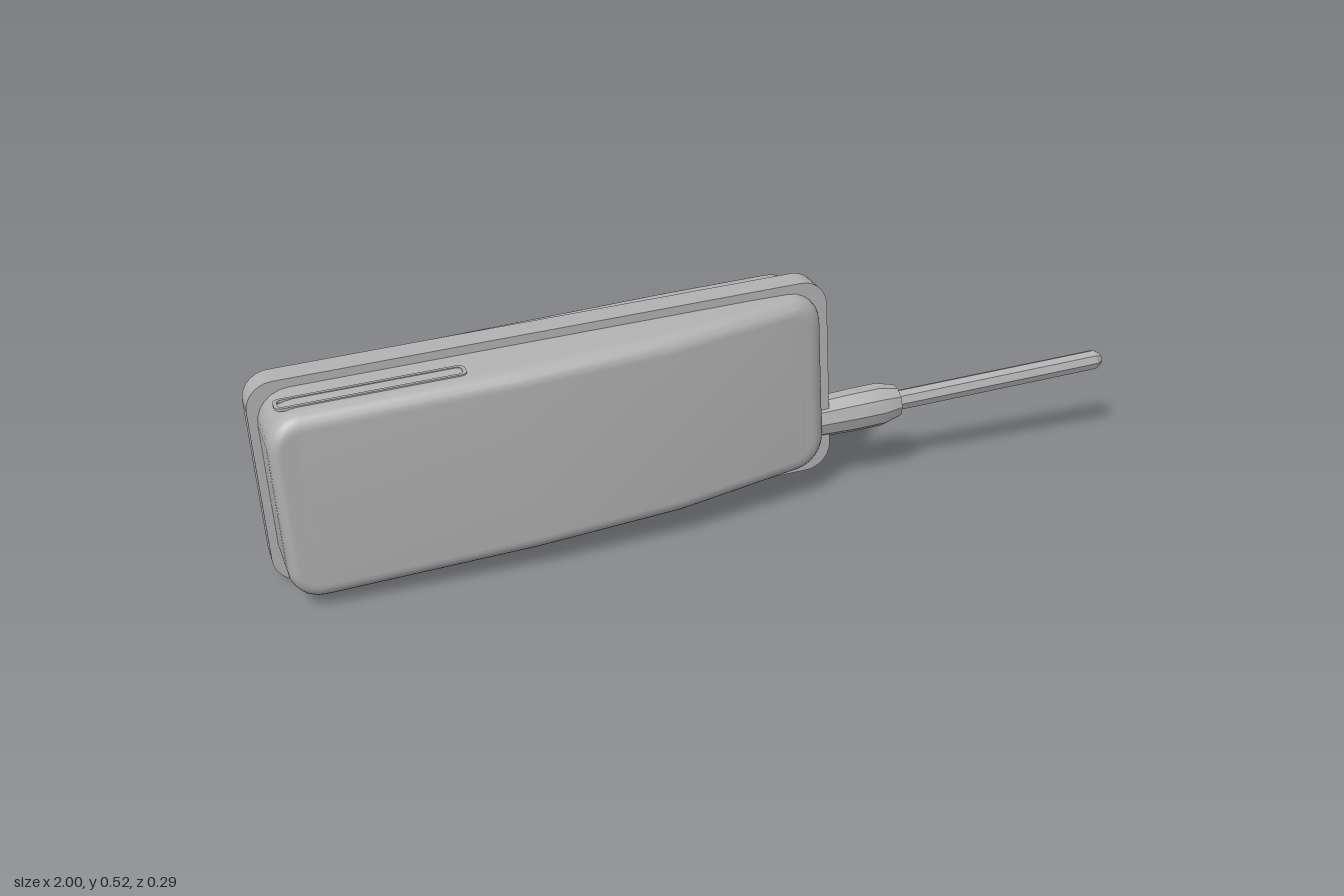
import * as THREE from 'three';
import { toCreasedNormals } from 'three/addons/utils/BufferGeometryUtils.js';

const HALF_L = 0.634, HALF_H = 0.231;

// Piecewise-linear depth along the length of the case
function depthAt(knots, u) {
  for (let i = 1; i < knots.length; i++) {
    const [u0, d0] = knots[i - 1], [u1, d1] = knots[i];
    if (u <= u1 || i === knots.length - 1) return d0 + (d1 - d0) * (u - u0) / (u1 - u0);
  }
}

// Upper half of a rounded-rectangle outline, from right end to left end
function upperOutline(inset, knots) {
  const b = HALF_H - inset, r = Math.max(0.025, 0.085 - inset * 0.7), steps = 6;
  const right = HALF_L - inset, left = -HALF_L + 0.018 + (inset - 0.018) * 0.6;
  const pts = [];
  for (let i = 0; i <= steps; i++) {
    const a = i / steps * Math.PI / 2;
    pts.push([right - r + r * Math.cos(a), b - r + r * Math.sin(a)]);
  }
  for (const [u] of knots.slice(1, -1).reverse()) pts.push([u, b]);
  for (let i = 0; i <= steps; i++) {
    const a = (1 + i / steps) * Math.PI / 2;
    pts.push([left + r + r * Math.cos(a), b - r + r * Math.sin(a)]);
  }
  return pts;
}

// Half of the case: stacked outlines ending in a rounded rim and a face that follows the depth
function shellGeometry(knots, side) {
  const R = 0.035;
  const layers = [[0.018, null], [0.021, R + 0.004]];
  for (let i = 0; i <= 6; i++) {
    const a = i / 6 * Math.PI / 2;
    layers.push([0.0215 + R * (1 - Math.cos(a)), R * (1 - Math.sin(a))]);
  }
  layers.push([0.0215 + R + 0.004, 0]);

  const positions = [], index = [];
  let n = 0;
  for (const [inset, drop] of layers) {
    const up = upperOutline(inset, knots);
    n = up.length;
    const ring = [...up, ...up.map(([u, v]) => [u, -v]).reverse()];
    for (const [u, v] of ring) {
      positions.push(u, v, side * (drop === null ? 0 : depthAt(knots, u) - drop));
    }
  }
  const tri = (a, b, c) => (side > 0 ? index.push(a, b, c) : index.push(a, c, b));
  const quad = (a, b, c, d) => { tri(a, b, c); tri(a, c, d); };
  const N = 2 * n;
  for (let j = 0; j < layers.length - 1; j++) {
    for (let i = 0; i < N; i++) {
      const k = (i + 1) % N;
      quad(j * N + i, j * N + k, (j + 1) * N + k, (j + 1) * N + i);
    }
  }
  const top = (layers.length - 1) * N;
  for (let k = 0; k < n - 1; k++) quad(top + k, top + k + 1, top + N - 2 - k, top + N - 1 - k);

  const g = new THREE.BufferGeometry();
  g.setAttribute('position', new THREE.Float32BufferAttribute(positions, 3));
  g.setIndex(index);
  return toCreasedNormals(g, 0.5);
}

// Rounded rectangle centred on the origin
function roundedRect(path, w, h, r) {
  const x = w / 2, y = h / 2;
  path.moveTo(-x + r, -y);
  path.lineTo(x - r, -y);
  path.absarc(x - r, -y + r, r, -Math.PI / 2, 0);
  path.lineTo(x, y - r);
  path.absarc(x - r, y - r, r, 0, Math.PI / 2);
  path.lineTo(-x + r, y);
  path.absarc(-x + r, y - r, r, Math.PI / 2, Math.PI);
  path.lineTo(-x, -y + r);
  path.absarc(-x + r, -y + r, r, Math.PI, Math.PI * 1.5);
  return path;
}

// Faceted turned part lying along x, from [x, radius] pairs
function turned(profile, sides) {
  const g = new THREE.LatheGeometry(profile.map(([x, r]) => new THREE.Vector2(r, x)), sides);
  g.rotateZ(-Math.PI / 2);
  return toCreasedNormals(g, 0.3);
}

export function createModel() {
  const grey = new THREE.MeshStandardMaterial({ color: 0xb0b0b0 });
  grey.name = 'plain grey';

  const device = new THREE.Group();
  device.name = 'device';
  const add = (name, geometry) => {
    const m = new THREE.Mesh(geometry, grey);
    m.name = name;
    device.add(m);
    return m;
  };

  // Case halves: a wedge-shaped front and a shallow back
  add('frontShell', shellGeometry([[-0.63, 0.177], [-0.095, 0.171], [0.235, 0.147], [0.63, 0.062]], 1));
  add('backShell', shellGeometry([[-0.63, 0.098], [-0.1, 0.113], [0.3, 0.126], [0.63, 0.127]], -1));

  // Band around the seam
  const bandShape = roundedRect(new THREE.Shape(), HALF_L * 2, HALF_H * 2, 0.06);
  const band = new THREE.ExtrudeGeometry(bandShape, { depth: 0.064, bevelEnabled: false, curveSegments: 6 });
  band.translate(0, 0, -0.032);
  add('seamBand', toCreasedNormals(band, 0.5));

  // Long grip slots on the upper and lower sides, outlined by a thin rim
  for (const s of [1, -1]) {
    const rim = roundedRect(new THREE.Shape(), 0.39, 0.05, 0.016);
    rim.holes.push(roundedRect(new THREE.Path(), 0.374, 0.034, 0.01));
    const slot = new THREE.ExtrudeGeometry(rim, { depth: 0.006, bevelEnabled: false, curveSegments: 4 });
    const m = add(s > 0 ? 'upperSlotRim' : 'lowerSlotRim', slot);
    m.rotation.x = -s * Math.PI / 2;
    m.position.set(-0.39, s * 0.207, 0.106);
  }

  // Cable with its collar at the lower right of the case
  const collar = add('cableCollar', turned([[0.6, 0.046], [0.7, 0.05], [0.77, 0.05], [0.815, 0.038], [0.822, 0]], 10));
  const cable = add('cable', turned([[0.8, 0.024], [1.335, 0.024], [1.352, 0.014], [1.354, 0]], 8));
  collar.position.y = cable.position.y = -0.119;

  // The whole device leans slightly
  device.position.set(-0.355, 0.26, -0.0285);
  device.rotation.set(0, -0.029, 0.05);

  const model = new THREE.Group();
  model.name = 'model';
  model.add(device);
  return model;
}
